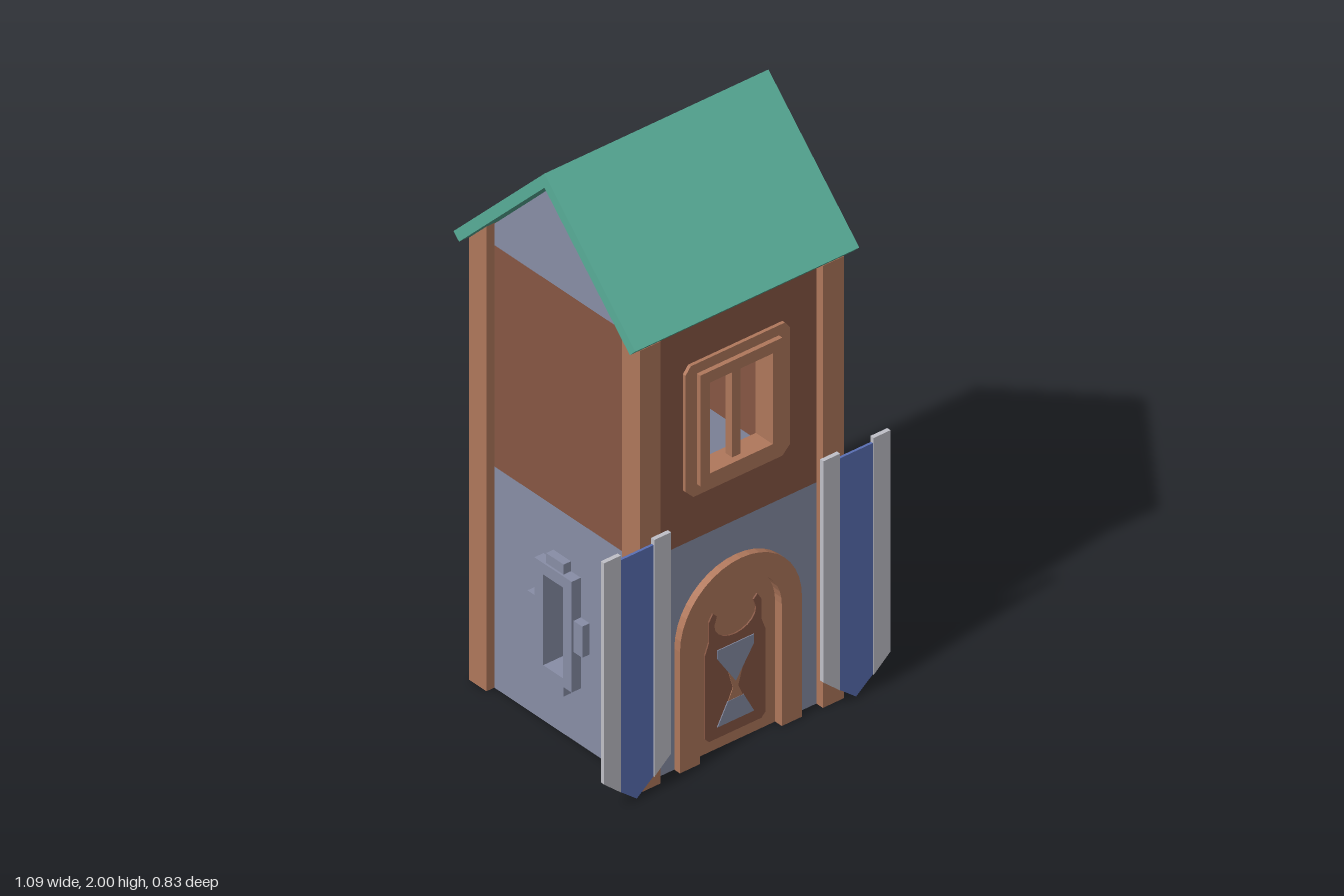
import * as THREE from 'three';

const mat = (name, color) => new THREE.MeshStandardMaterial({ name, color });

export function createModel() {
  const timber = mat('timber', 0xb0785c);
  const plaster = mat('brown plaster', 0x875744);
  const stone = mat('blue grey stone', 0x888ea6);
  const tile = mat('green roof', 0x58ad98);
  const blue = mat('blue cloth', 0x5a6fb4);
  const silver = mat('pale trim', 0xc0c0c8);

  const model = new THREE.Group();
  model.name = 'tower';

  const poly = (pts) => new THREE.Shape(pts.map(([x, y]) => new THREE.Vector2(x, y)));
  const rect = (x0, y0, x1, y1) => poly([[x0, y0], [x1, y0], [x1, y1], [x0, y1]]);
  const pierced = (shape, ...holes) => { shape.holes.push(...holes); return shape; };
  // arch outline points from left foot over the top to right foot
  const archPts = (r, spring) => {
    const pts = [[-r, 0]];
    for (let i = 0; i <= 20; i++) {
      const a = Math.PI * (1 - i / 20);
      pts.push([r * Math.cos(a), spring + r * Math.sin(a)]);
    }
    return [...pts, [r, 0]];
  };
  // flat shape extruded from z0 to z1
  const slab = (parent, name, shape, material, z0, z1) => {
    const geo = new THREE.ExtrudeGeometry(shape, { depth: z1 - z0, bevelEnabled: false, curveSegments: 16 });
    const mesh = new THREE.Mesh(geo.translate(0, 0, z0), material);
    mesh.name = name;
    parent.add(mesh);
  };
  const group = (name, turn = 0) => {
    const g = new THREE.Group();
    g.name = name;
    g.rotation.y = turn;
    model.add(g);
    return g;
  };

  const IN = 0.32, OUT = 0.36, MID = 0.78, EAVE = 1.56;

  // Front: stone wall with arched opening, plaster wall with window
  const front = group('frontSide');
  slab(front, 'frontLowerWall', poly([
    [-IN, 0], ...archPts(0.2, 0.425), [IN, 0], [IN, MID], [-IN, MID],
  ]), stone, IN, OUT);
  slab(front, 'frontUpperWall',
    pierced(rect(-IN, MID, IN, EAVE), rect(-0.14, 1.0, 0.14, 1.35)), plaster, IN, OUT);

  // Upper window
  slab(front, 'windowSurround', pierced(poly([
    [-0.2, 0.97], [-0.17, 0.94], [0.17, 0.94], [0.2, 0.97],
    [0.2, 1.38], [0.18, 1.405], [-0.18, 1.405], [-0.2, 1.38],
  ]), rect(-0.14, 1.0, 0.14, 1.35)), timber, 0.35, 0.372);
  slab(front, 'windowFrame',
    pierced(rect(-0.157, 0.98, 0.157, 1.37), rect(-0.12, 1.01, 0.12, 1.33)), timber, 0.31, 0.388);
  slab(front, 'windowMullion', rect(-0.016, 1.01, 0.016, 1.33), timber, 0.335, 0.365);

  // Door with arch, carved panel and hourglass inlay, seen on both faces
  slab(front, 'doorArch', poly([
    ...archPts(0.233, 0.427), ...archPts(0.156, 0.43).reverse(),
  ]), timber, 0.3, 0.386);
  slab(front, 'door', poly(archPts(0.157, 0.43)), timber, 0.33, 0.355);
  const panel = [[-0.1, 0.04], [0.1, 0.04], [0.115, 0.055], [0.115, 0.35], [0.1, 0.39], [0.1, 0.46], [0.085, 0.485], [0.07, 0.47]];
  for (let i = 0; i <= 10; i++) {
    const a = -Math.PI * i / 10;
    panel.push([0.08 * Math.cos(a), 0.44 - 0.06 * Math.sin(-a)]);
  }
  panel.push([-0.07, 0.47], [-0.085, 0.485], [-0.1, 0.46], [-0.1, 0.39], [-0.115, 0.35], [-0.115, 0.055]);
  slab(front, 'doorPanel', poly(panel), plaster, 0.325, 0.36);
  slab(front, 'doorPanelWaist', poly([
    [-0.03, 0.15], [0.03, 0.15], [0.01, 0.195], [0.03, 0.265], [0, 0.22], [-0.03, 0.265], [-0.01, 0.195],
  ]), timber, 0.323, 0.362);
  slab(front, 'hourglassTop', poly([[0, 0.215], [0.07, 0.32], [0.07, 0.35], [-0.07, 0.35], [-0.07, 0.32]]), stone, 0.322, 0.363);
  slab(front, 'hourglassBottom', poly([[-0.07, 0.08], [0.07, 0.08], [0.03, 0.155], [-0.03, 0.155]]), stone, 0.322, 0.363);

  // Plain back
  const back = group('backSide', Math.PI);
  slab(back, 'backLowerWall', rect(-IN, 0, IN, MID), stone, IN, OUT);
  slab(back, 'backUpperWall', rect(-IN, MID, IN, EAVE), plaster, IN, OUT);

  // Sides: walls, gable, slit window and corner posts
  for (const [label, turn] of [['left', Math.PI / 2], ['right', -Math.PI / 2]]) {
    const side = group(label + 'Side', turn);
    const slit = () => rect(-0.045, 0.23, 0.045, 0.55);
    slab(side, 'sideLowerWall', pierced(rect(-OUT, 0, OUT, MID), slit()), stone, IN, OUT);
    slab(side, 'sideUpperWall', rect(-OUT, MID, OUT, EAVE), plaster, IN, OUT);
    slab(side, 'gable', poly([[-0.385, EAVE], [0.385, EAVE], [0, 1.946]]), stone, IN, OUT);
    slab(side, 'slitFrame', pierced(rect(-0.085, 0.2, 0.085, 0.59), slit()), stone, 0.3, 0.395);
    for (const [x0, y0, x1, y1] of [
      [-0.04, 0.59, 0.04, 0.625], [-0.04, 0.16, 0.04, 0.2],
      [-0.125, 0.34, -0.085, 0.45], [0.085, 0.34, 0.125, 0.45],
    ]) slab(side, 'slitFrameBlock', rect(x0, y0, x1, y1), stone, 0.305, 0.388);
    for (const s of [-1, 1]) {
      slab(side, 'cornerPost', poly([
        [s * 0.31, 0], [s * 0.39, 0], [s * 0.39, 1.558], [s * 0.31, 1.638],
      ]), timber, 0.31, 0.39);
    }
  }

  // Gabled roof running along x
  slab(group('roofGroup', Math.PI / 2), 'roof', poly([
    [0, 2], [0.415, 1.585], [0.39, 1.56], [0, 1.95], [-0.39, 1.56], [-0.415, 1.585],
  ]), tile, -0.428, 0.428);

  // Hanging banners with pale borders and a ring behind
  for (const s of [-1, 1]) {
    const banner = group(s > 0 ? 'leftBanner' : 'rightBanner');
    const c = s * 0.419;
    slab(banner, 'bannerCloth', poly([
      [c - 0.064, 0.87], [c - 0.064, 0.055], [c, 0.004], [c + 0.064, 0.055], [c + 0.064, 0.87],
    ]), blue, 0.402, 0.411);
    for (const e of [-1, 1]) {
      slab(banner, 'bannerBorder', poly([
        [c + e * 0.064, 0.055], [c + e * 0.128, 0.11], [c + e * 0.128, 0.89], [c + e * 0.064, 0.89],
      ]), silver, 0.4, 0.415);
    }
    const ring = new THREE.Mesh(new THREE.TorusGeometry(0.028, 0.009, 4, 6), silver);
    ring.name = 'bannerRing';
    ring.position.set(s * 0.429, 0.54, 0.401);
    banner.add(ring);
    ring.scale.z = 0.6;
  }
  return model;
}
